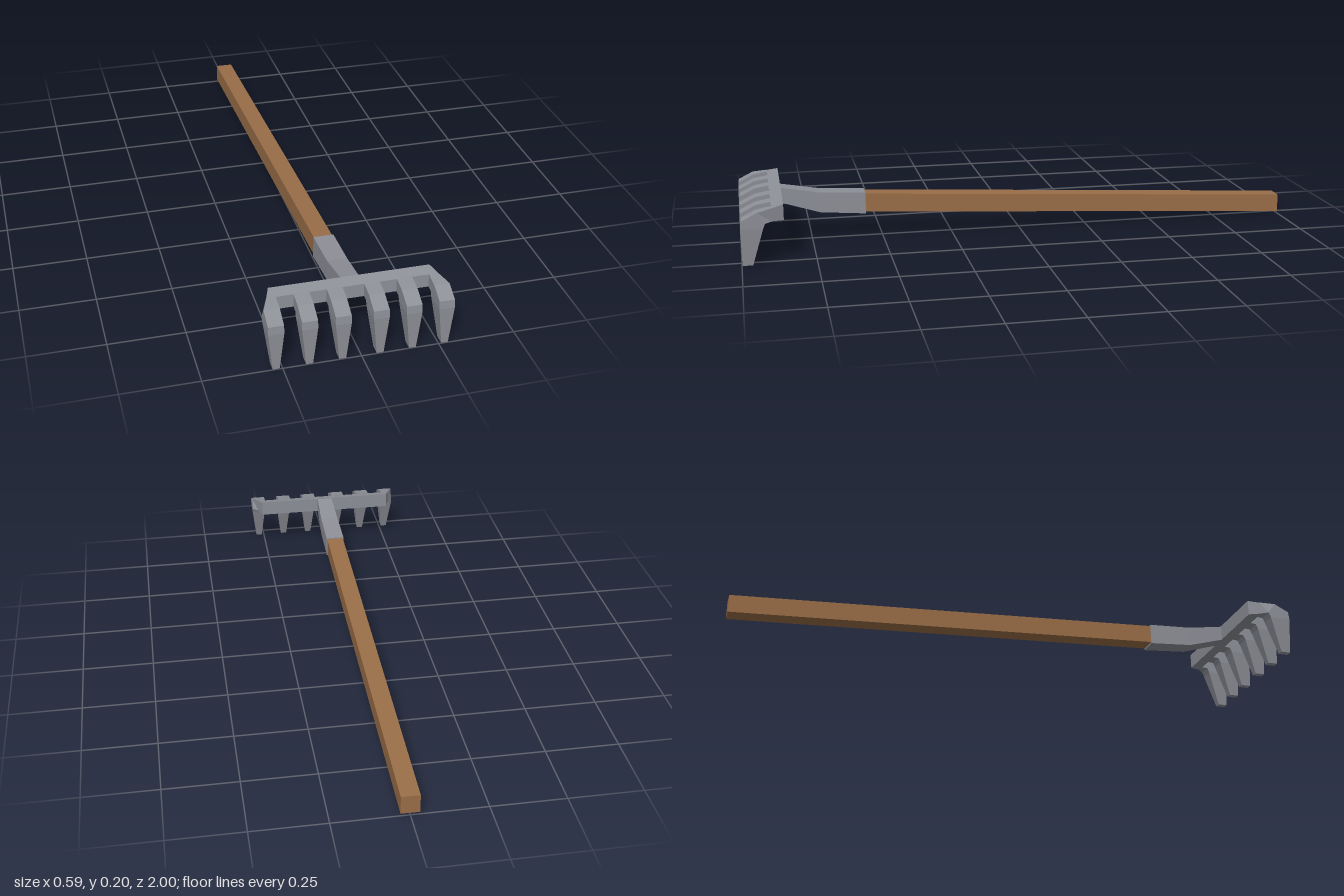
import * as THREE from 'three';

const metal = new THREE.MeshStandardMaterial({ color: 0x8e9098 });
const wood = new THREE.MeshStandardMaterial({ color: 0x9a6e48 });

// Four-cornered section: upper/outer edge, lower/inner edge, x range
const section = (zOut, yOut, zIn, yIn, x0, x1) => [
  [x0, yIn, zIn], [x1, yIn, zIn], [x1, yOut, zOut], [x0, yOut, zOut],
];

// Faceted closed solid through sections running towards +z
function loft(name, sections, material) {
  const pos = [];
  const quad = (a, b, c, d) => [a, b, c, a, c, d].forEach((p) => pos.push(...p));
  for (let s = 0; s < sections.length - 1; s++) {
    const A = sections[s], B = sections[s + 1];
    for (let i = 0; i < 4; i++) {
      const j = (i + 1) % 4;
      quad(A[i], A[j], B[j], B[i]);
    }
  }
  const [a, b, c, d] = sections[0];
  quad(d, c, b, a);
  quad(...sections[sections.length - 1]);
  const geo = new THREE.BufferGeometry();
  geo.setAttribute('position', new THREE.Float32BufferAttribute(pos, 3));
  geo.computeVertexNormals();
  const mesh = new THREE.Mesh(geo, material);
  mesh.name = name;
  return mesh;
}

// Curved tooth: reaches forward from the bar, then bends down to a blunt tip
function tine(cx) {
  const w = 0.025, tip = 0.011;
  const x0 = cx - w, x1 = cx + w;
  // outermost tines start narrower, following the slanted bar ends
  const r0 = Math.max(x0, -0.275), r1 = Math.min(x1, 0.275);
  return loft('tine', [
    section(0.895, 0.192, 0.895, 0.147, r0, r1),
    section(0.945, 0.183, 0.918, 0.145, x0, x1),
    section(0.997, 0.157, 0.92, 0.14, x0, x1),
    section(1.0, 0.13, 0.925, 0.128, x0, x1),
    section(0.998, 0, 0.963, 0, cx - tip, cx + tip),
  ], metal);
}

export function createModel() {
  const group = new THREE.Group();

  // Square wooden handle, sloping down to the back
  group.add(loft('handle', [
    section(-1, 0.072, -1, 0.008, -0.031, 0.031),
    section(0.58, 0.162, 0.58, 0.096, -0.031, 0.031),
  ], wood));

  // Bent neck holding the handle
  group.add(loft('neck', [
    section(0.56, 0.165, 0.56, 0.089, -0.034, 0.034),
    section(0.72, 0.174, 0.72, 0.102, -0.033, 0.033),
    section(0.86, 0.199, 0.86, 0.145, -0.029, 0.029),
  ], metal));

  // Cross bar with slanted ends
  group.add(loft('crossBar', [
    section(0.855, 0.2, 0.855, 0.145, -0.26, 0.26),
    section(0.895, 0.191, 0.897, 0.147, -0.275, 0.275),
  ], metal));

  // Six tines
  const tines = new THREE.Group();
  tines.name = 'tines';
  for (const x of [0.06, 0.165, 0.27]) tines.add(tine(x), tine(-x));
  group.add(tines);

  return group;
}
